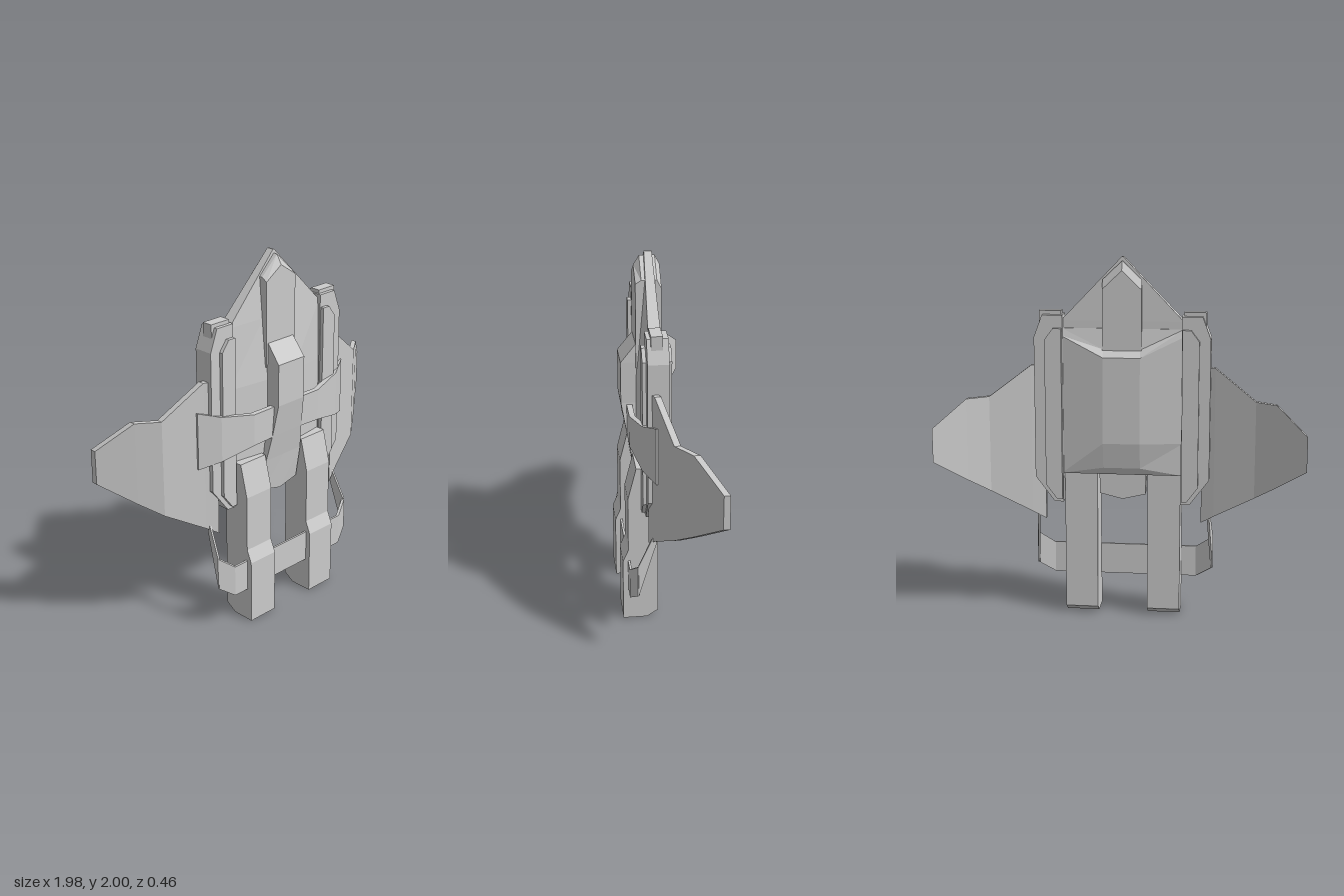
import * as THREE from 'three';

const material = new THREE.MeshStandardMaterial({ color: 0xcccccc, flatShading: true });

// Skins a list of equal-length point loops, closes both ends, and turns the faces outward.
function loft(loops) {
  const pos = [];
  const tri = (a, b, c) => pos.push(...a, ...b, ...c);
  const n = loops[0].length;
  for (let s = 0; s + 1 < loops.length; s++) {
    const A = loops[s], B = loops[s + 1];
    for (let i = 0; i < n; i++) {
      const j = (i + 1) % n;
      tri(A[i], A[j], B[j]);
      tri(A[i], B[j], B[i]);
    }
  }
  const first = loops[0], last = loops[loops.length - 1];
  for (let i = 1; i + 1 < n; i++) {
    tri(first[0], first[i + 1], first[i]);
    tri(last[0], last[i], last[i + 1]);
  }
  const geo = new THREE.BufferGeometry();
  geo.setAttribute('position', new THREE.Float32BufferAttribute(pos, 3));
  return orient(geo);
}

// Flips the winding of an unindexed solid if its signed volume is negative.
function orient(geo) {
  const p = geo.attributes.position;
  const a = new THREE.Vector3(), b = new THREE.Vector3(), c = new THREE.Vector3();
  const v = i => [a, b, c].forEach((q, k) => q.fromBufferAttribute(p, i + k));
  let volume = 0;
  for (let i = 0; i < p.count; i += 3) {
    v(i);
    volume += a.dot(b.clone().cross(c));
  }
  if (volume < 0) {
    for (let i = 0; i < p.count; i += 3) {
      v(i);
      p.setXYZ(i + 1, c.x, c.y, c.z);
      p.setXYZ(i + 2, b.x, b.y, b.z);
    }
  }
  geo.computeVertexNormals();
  return geo;
}

// Outline in x, y given depth from z0 to z1.
const slab = (outline, z0, z1) => loft([z0, z1].map(z => outline.map(([x, y]) => [x, y, z])));

// Flat strip through stations [x, z, yLow, yHigh], thickened by an offset (dx, dz).
const ribbon = (stations, dx, dz) => loft(stations.map(([x, z, lo, hi]) => {
  const ox = dx * Math.sign(x);
  return [[x, lo, z], [x, hi, z], [x + ox, hi, z + dz], [x + ox, lo, z + dz]];
}));

// Completes a half list of stations across the centre plane.
const across = half => [...half.map(([x, ...r]) => [-x, ...r]).reverse(), ...half];

export function createModel() {
  const group = new THREE.Group();
  const add = (name, geo) => {
    const mesh = new THREE.Mesh(geo, material);
    mesh.name = name;
    group.add(mesh);
  };
  const addPair = (name, geo) => {
    add(name + 'Left', geo);
    add(name + 'Right', orient(geo.clone().scale(-1, 1, 1)));
  };

  // Pointed hull: [y, half width, centre half width, front edge z, front centre z, back z]
  add('hull', loft([
    [2.0, 0.004, 0.002, 0.075, 0.075, 0.035],
    [1.66, 0.33, 0.1, 0.09, 0.1, 0.025],
    [1.33, 0.34, 0.1, 0.1, 0.13, 0.025],
    [0.84, 0.34, 0.13, 0.1, 0.13, 0.025],
  ].map(([y, w, c, fe, fc, b]) => [
    [-w, y, b], [w, y, b], [w, y, fe], [c, y, fc], [-c, y, fc], [-w, y, fe],
  ])));

  // Raised nose spine with bevelled tips: [z, tip y, shoulder y]
  add('noseSpine', loft([
    [-0.005, 1.93, 1.83], [0.02, 1.98, 1.88], [0.1, 1.98, 1.88], [0.13, 1.93, 1.86],
  ].map(([z, tip, sh]) => [
    [-0.105, 1.4, z], [0.105, 1.4, z], [0.105, sh, z], [0, tip, z], [-0.105, sh, z],
  ])));

  // Back fairing: [edge y, centre y, edge z, centre z]
  add('backFairing', loft([
    [1.62, 1.51, 0.02, 0],
    [1.58, 1.47, 0.01, -0.035],
    [1.0, 1.0, 0.01, -0.035],
    [0.82, 0.86, 0.01, -0.01],
  ].map(([ye, yc, ze, zc]) => [
    [-0.33, ye, ze], [-0.1, yc, zc], [0.1, yc, zc],
    [0.33, ye, ze], [0.33, ye, 0.06], [-0.33, ye, 0.06],
  ])));

  // Central front housing: [y, centre y, half width, front z]
  add('frontHousing', loft([
    [1.53, 1.53, 0.092, 0.13],
    [1.43, 1.43, 0.095, 0.21],
    [1.2, 1.2, 0.095, 0.21],
    [1.02, 1.02, 0.11, 0.18],
    [0.88, 0.88, 0.13, 0.155],
    [0.7, 0.67, 0.125, 0.13],
  ].map(([y, yc, w, f]) => [
    [-w, y, 0.05], [0, yc, 0.05], [w, y, 0.05], [w, y, f], [0, yc, f], [-w, y, f],
  ])));

  // Side pods with a raised rail and a top block
  addPair('sidePod', slab([
    [0.32, 0.66], [0.37, 0.66], [0.475, 0.8], [0.475, 1.57], [0.43, 1.69], [0.32, 1.69],
  ], 0, 0.11));
  addPair('podRail', slab([
    [0.325, 0.68], [0.355, 0.68], [0.415, 0.76], [0.415, 1.56], [0.37, 1.62], [0.325, 1.62],
  ], -0.02, 0.13));
  addPair('podBlock', slab([
    [0.33, 1.58], [0.45, 1.58], [0.45, 1.71], [0.33, 1.71],
  ], 0.03, 0.09));

  // Swept wings folding backward toward the tips
  addPair('wing', ribbon([
    [0.43, 0.07, 0.54, 1.41],
    [0.5, 0.045, 0.585, 1.41],
    [0.72, -0.025, 0.715, 1.245],
    [0.83, -0.105, 0.795, 1.245],
    [0.99, -0.228, 0.92, 1.105],
  ], 0, 0.033));

  // Wrapped band across the front
  add('frontBand', ribbon(across([
    [0.1, 0.15, 1.02, 1.19],
    [0.24, 0.15, 1.015, 1.19],
    [0.43, 0.105, 0.97, 1.22],
    [0.54, 0.045, 0.94, 1.255],
  ]), 0, 0.03));

  // Lower legs: stepped side profile given as [z, y]
  const legProfile = [
    [0.1, 0], [0.23, 0], [0.23, 0.36], [0.2, 0.43], [0.2, 0.74],
    [0.155, 0.92], [0.06, 0.92], [0.04, 0.84], [0.04, 0.04],
  ];
  addPair('leg', loft([0.138, 0.318].map(x => legProfile.map(([z, y]) => [x, y, z]))));

  // Lower strap and the struts that tie it to the wing roots
  add('lowerStrap', ribbon(across([
    [0.4, 0.19, 0.19, 0.365],
    [0.485, 0.155, 0.25, 0.43],
  ]), 0.01, 0.012));
  addPair('strapStrut', ribbon([
    [0.485, 0.163, 0.25, 0.435],
    [0.465, 0.065, 0.56, 0.64],
  ], 0.012, 0));

  return group;
}
